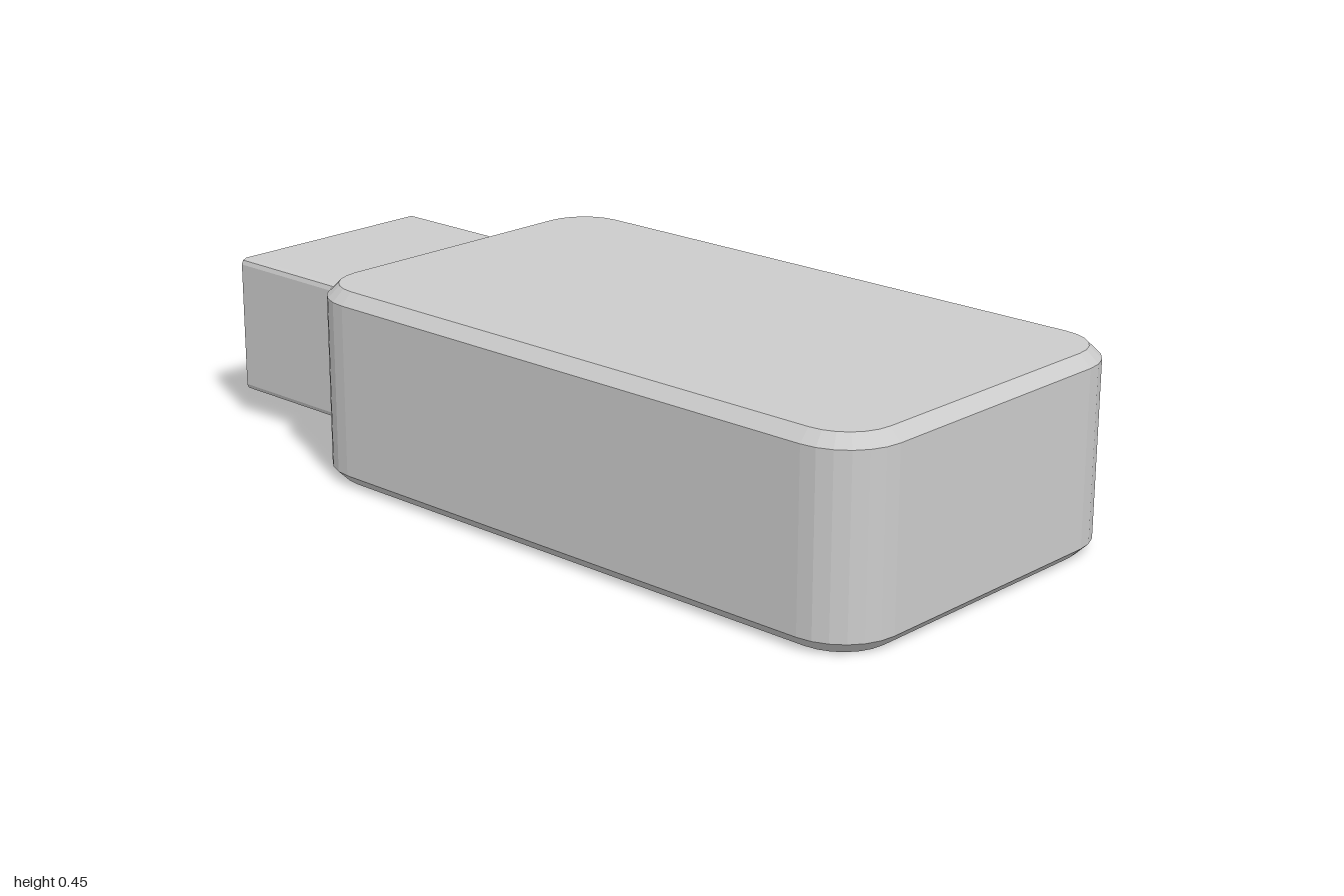
import * as THREE from 'three';

const material = new THREE.MeshStandardMaterial({ color: 0xcccccc, flatShading: true });

// Rectangle with rounded corners, given by its limits
function roundedRect(x0, x1, y0, y1, r) {
  const s = new THREE.Shape();
  s.absarc(x1 - r, y0 + r, r, -Math.PI / 2, 0);
  s.absarc(x1 - r, y1 - r, r, 0, Math.PI / 2);
  s.absarc(x0 + r, y1 - r, r, Math.PI / 2, Math.PI);
  s.absarc(x0 + r, y0 + r, r, Math.PI, Math.PI * 1.5);
  s.closePath();
  return s;
}

function addPart(group, name, geometry) {
  const mesh = new THREE.Mesh(geometry, material);
  mesh.name = name;
  group.add(mesh);
}

export function createModel() {
  const model = new THREE.Group();
  model.name = 'flashDrive';

  // Casing: rounded plan extruded upwards, with a chamfer on top and bottom rims
  const bevel = 0.027;
  const casing = new THREE.ExtrudeGeometry(roundedRect(-0.447, 0.447, -1, 0.58, 0.135), {
    depth: 0.45 - 2 * bevel, curveSegments: 3,
    bevelEnabled: true, bevelSegments: 1, bevelSize: bevel, bevelThickness: bevel, bevelOffset: -bevel,
  });
  casing.rotateX(-Math.PI / 2).translate(0, bevel, 0);
  addPart(model, 'casing', casing);

  // Plug: chamfered sleeve, open above a solid tongue that is flush with its end
  const section = roundedRect(-0.278, 0.278, 0.062, 0.388, 0.014);
  const slot = new THREE.Path();
  slot.moveTo(-0.26, 0.23);
  slot.lineTo(-0.26, 0.37);
  slot.lineTo(0.26, 0.37);
  slot.lineTo(0.26, 0.23);
  slot.closePath();
  section.holes.push(slot);
  const plug = new THREE.ExtrudeGeometry(section, { depth: 0.42, bevelEnabled: false, curveSegments: 1 });
  plug.translate(0, 0, -1);
  addPart(model, 'plug', plug);

  return model;
}
